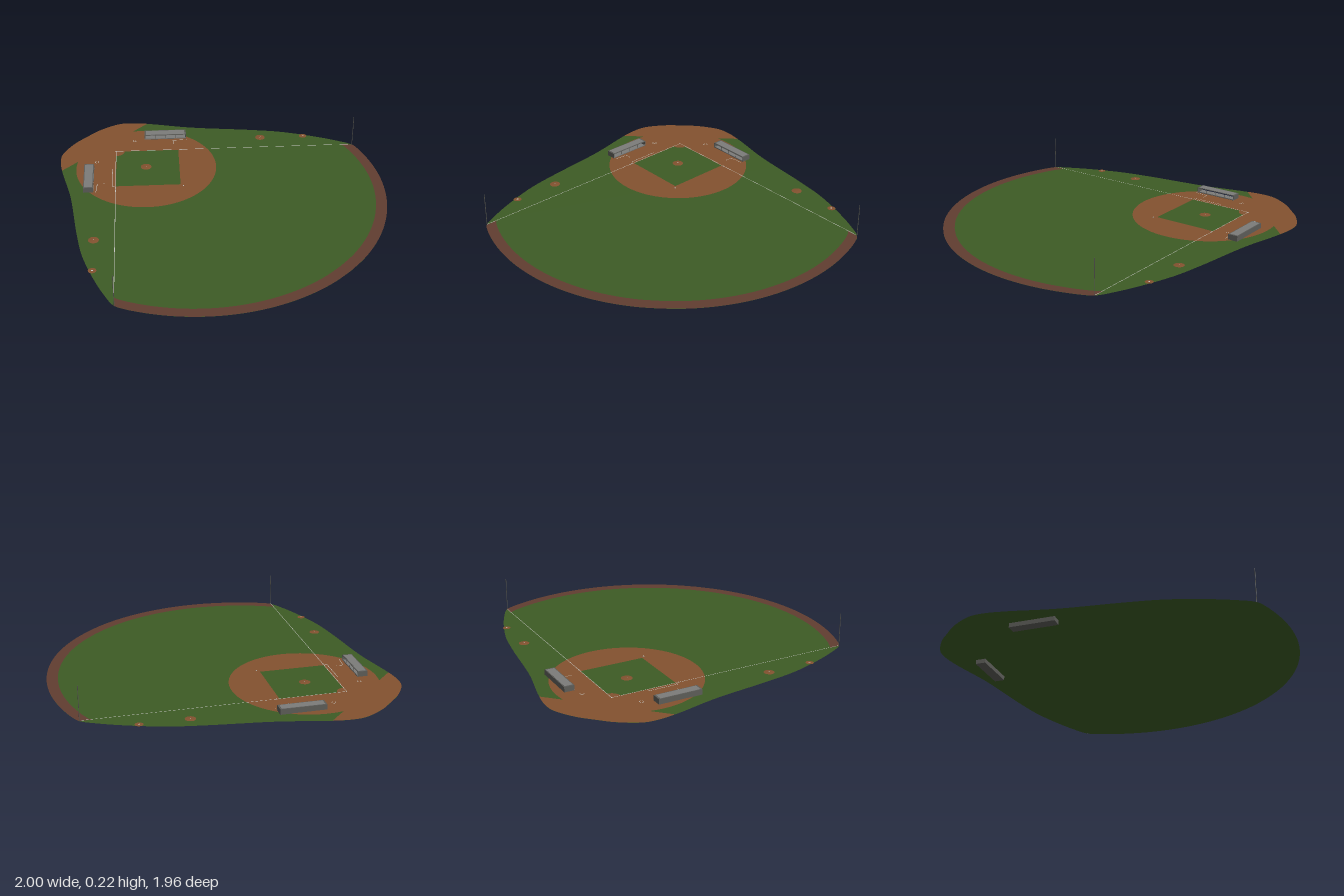
import * as THREE from 'three';

const paint = (name, color, side = THREE.FrontSide) => {
  const m = new THREE.MeshStandardMaterial({ color, side });
  m.name = name;
  return m;
};

export function createModel() {
  const model = new THREE.Group();
  model.name = 'ballpark';
  const grass = paint('grass green', 0x3d5b25, THREE.DoubleSide);
  const dirt = paint('infield dirt', 0x83522f);
  const track = paint('track brown', 0x613d30);
  const chalk = paint('chalk white', 0xc4c4c0);
  const concrete = paint('concrete grey', 0x7c7c7a);
  const wall = paint('dark grey', 0x5c5c58);
  const navy = paint('navy blue', 0x1c2752);
  const poleGrey = paint('pole grey', 0x55554f);

  const GROUND = 0.0235, HOME = -0.733, BASE = 0.273;
  const add = (parent, name, geo, mat, x = 0, y = 0, z = 0) => {
    const mesh = new THREE.Mesh(geo, mat);
    mesh.name = name;
    mesh.position.set(x, y, z);
    parent.add(mesh);
    return mesh;
  };
  // Flat ground patch from [x, z] points, facing up
  const patch = (name, pts, mat, layer) => {
    const shape = new THREE.Shape(pts.map(([x, z]) => new THREE.Vector2(x, -z)));
    return add(model, name, new THREE.ShapeGeometry(shape).rotateX(-Math.PI / 2), mat, 0, GROUND + layer * 0.0006, 0);
  };
  const disc = (name, r, mat, x, z, layer) =>
    add(model, name, new THREE.CircleGeometry(r, 48).rotateX(-Math.PI / 2), mat, x, GROUND + layer * 0.0006, z);
  // Thin chalk line between two ground points
  const line = (name, x1, z1, x2, z2, width = 0.003) => {
    const geo = new THREE.PlaneGeometry(Math.hypot(x2 - x1, z2 - z1), width).rotateX(-Math.PI / 2);
    const mesh = add(model, name, geo, chalk, (x1 + x2) / 2, GROUND + 0.003, (z1 + z2) / 2);
    mesh.rotation.y = -Math.atan2(z2 - z1, x2 - x1);
  };

  // Field outline: one half as a smooth curve, then mirrored
  const side = [[0, -0.985], [0.1, -0.982], [0.235, -0.945], [0.3, -0.89], [0.364, -0.805], [0.5, -0.59],
    [0.717, -0.305], [0.825, -0.15], [0.916, 0.027], [0.97, 0.16], [0.999, 0.265], [0.985, 0.32]];
  for (let i = 1; i <= 10; i++) {
    const a = 1.178 * (1 - i / 10);
    side.push([1.066 * Math.sin(a), -0.088 + 1.066 * Math.cos(a)]);
  }
  const half = new THREE.CatmullRomCurve3(side.map(([x, z]) => new THREE.Vector3(x, 0, z)), false, 'centripetal')
    .getPoints(300).map((p) => [p.x, p.z]);
  const mirrored = half.slice(1, -1).reverse().map(([x, z]) => [-x, z]);
  const outline = [...half, ...mirrored];
  patch('outfieldGrass', outline, grass, 0);

  // Warning track: the fair part of the fence arc and its inward offset
  const arc = outline.filter(([x, z]) => z > 0.2 && Math.abs(x) <= z - HOME + 0.003);
  const inner = arc.map(([x, z]) => {
    const k = 1 - 0.063 / Math.hypot(x, z - HOME);
    return [x * k, HOME + (z - HOME) * k];
  });
  patch('warningTrack', [...arc, ...inner.reverse()], track, 1);

  // Infield dirt, backstop dirt and grass diamond
  const backstop = [...mirrored, ...half].filter(([, z]) => z < -0.816);
  patch('backstopDirt', backstop, dirt, 1);
  add(model, 'infieldDirt', new THREE.CircleGeometry(0.407, 96).rotateX(-Math.PI / 2), dirt, 0, GROUND + 0.001, -0.482);
  patch('infieldGrass', [[0, -0.73], [0.26, -0.47], [0, -0.21], [-0.26, -0.47]], grass, 3);
  disc('homeDirt', 0.052, dirt, 0, HOME, 4);

  // Pitching mound with its rubber
  add(model, 'pitchingMound', new THREE.CylinderGeometry(0.012, 0.038, 0.003, 40), dirt, 0, GROUND + 0.0025, -0.484);
  add(model, 'pitchingRubber', new THREE.BoxGeometry(0.008, 0.001, 0.002), chalk, 0, GROUND + 0.0043, -0.484);

  // Home plate and bases
  const p = 0.005;
  patch('homePlate', [[-p, HOME + p], [p, HOME + p], [p, HOME], [0, HOME - p], [-p, HOME]], chalk, 5);
  [[-BASE, HOME + BASE], [BASE, HOME + BASE], [0, HOME + 2 * BASE]].forEach(([x, z]) => {
    add(model, 'base', new THREE.BoxGeometry(0.007, 0.002, 0.007), chalk, x, GROUND + 0.003, z).rotation.y = Math.PI / 4;
  });

  // First base running lane
  line('runningLane', -0.15, -0.61, -0.275, -0.485);
  line('runningLaneEnd', -0.275, -0.485, -0.265, -0.475);

  for (const s of [-1, 1]) {
    // Foul line, foul pole and coach's box
    line('foulLine', 0, HOME, s * 0.998, 0.265);
    add(model, 'foulPole', new THREE.CylinderGeometry(0.0018, 0.0018, 0.192, 10), poleGrey, s * 0.997, 0.119, 0.268);
    line('coachBox', s * 0.315, -0.565, s * 0.38, -0.51);
    line('coachBoxEnd', s * 0.315, -0.565, s * 0.287, -0.535);

    // On-deck circle: chalk ring around dirt
    disc('onDeckRing', 0.012, chalk, s * 0.157, HOME, 4);
    disc('onDeckCircle', 0.0095, dirt, s * 0.157, HOME, 5);

    // Bullpen mound and plate
    add(model, 'bullpenMound', new THREE.CylinderGeometry(0.009, 0.029, 0.002, 32), dirt, s * 0.695, GROUND + 0.0016, -0.197);
    add(model, 'bullpenRubber', new THREE.BoxGeometry(0.008, 0.001, 0.002), chalk, s * 0.695, GROUND + 0.0028, -0.197);
    disc('bullpenPlateDirt', 0.022, dirt, s * 0.88, -0.013, 2);
    disc('bullpenPlate', 0.005, chalk, s * 0.88, -0.013, 4);

    // Dugout, facing the infield
    const dugout = new THREE.Group();
    dugout.name = s < 0 ? 'firstBaseDugout' : 'thirdBaseDugout';
    dugout.position.set(s * 0.318, 0, -0.632);
    dugout.rotation.y = -s * Math.PI / 4;
    model.add(dugout);
    const box = (name, w, h, d, mat, x, y, z) => add(dugout, name, new THREE.BoxGeometry(w, h, d), mat, x, y, z);
    box('dugoutPit', 0.25, 0.026, 0.056, wall, 0, 0.013, 0);
    box('dugoutFloor', 0.24, 0.001, 0.046, concrete, 0, 0.0265, 0);
    box('backWall', 0.25, 0.025, 0.004, wall, 0, 0.0385, -0.026);
    box('backPanel', 0.242, 0.023, 0.001, navy, 0, 0.0385, -0.0235);
    box('bench', 0.22, 0.003, 0.01, navy, 0, 0.034, -0.016);
    box('frontWall', 0.25, 0.005, 0.003, concrete, 0, 0.0285, 0.0265);
    for (const e of [-1, 1]) {
      box('endWall', 0.004, 0.025, 0.056, wall, e * 0.123, 0.0385, 0);
      box('benchLeg', 0.003, 0.006, 0.008, wall, e * 0.07, 0.0295, -0.016);
    }
    for (let i = -1; i <= 1; i++) box('roofPost', 0.002, 0.02, 0.002, wall, i * 0.061, 0.041, 0.0265);
    box('roofSlab', 0.25, 0.003, 0.056, wall, 0, 0.0525, 0);
    box('roofPanel', 0.232, 0.001, 0.046, concrete, 0, 0.0544, 0);
  }
  return model;
}
